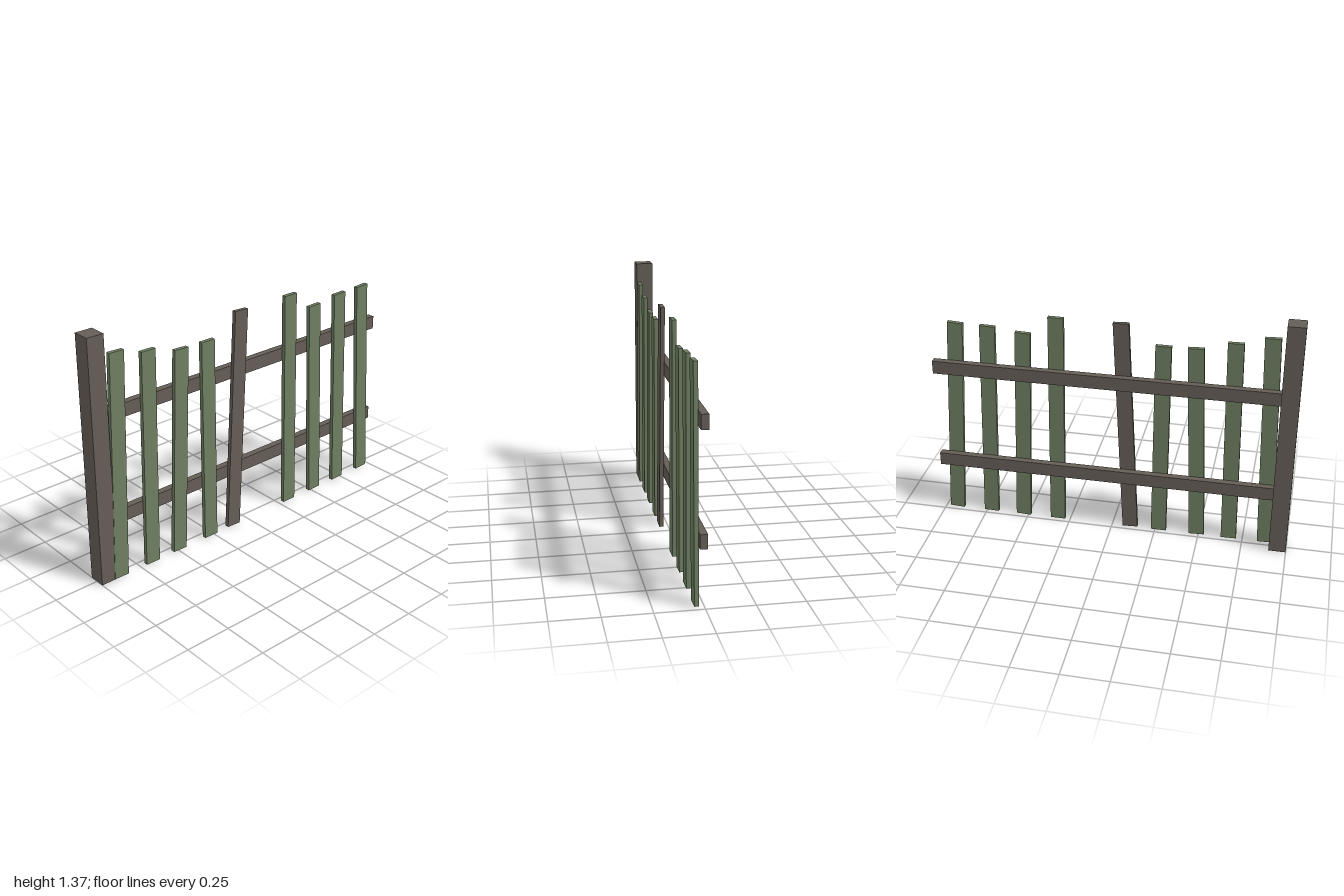
import * as THREE from 'three';

export function createModel() {
  const fence = new THREE.Group();
  fence.name = 'fence';

  const bareWood = new THREE.MeshStandardMaterial({ color: 0x665e57 });
  bareWood.name = 'bare wood';
  const greenPaint = new THREE.MeshStandardMaterial({ color: 0x6f7f62 });
  greenPaint.name = 'green paint';

  function box(name, material, size, position, tilt = 0) {
    const mesh = new THREE.Mesh(new THREE.BoxGeometry(...size), material);
    mesh.name = name;
    mesh.position.set(...position);
    mesh.rotation.z = tilt;
    fence.add(mesh);
  }

  // End post
  box('post', bareWood, [0.096, 1.37, 0.096], [-0.952, 0.685, 0]);

  // Two horizontal rails running out of the post
  for (const [name, y] of [['lowerRail', 0.346], ['upperRail', 0.932]]) {
    box(name, bareWood, [1.95, 0.075, 0.038], [0.025, y, 0.01]);
  }

  // Crooked pickets: bottom x, top x, height, material
  const pickets = [
    [-0.877, -0.837, 1.262, greenPaint],
    [-0.672, -0.650, 1.216, greenPaint],
    [-0.489, -0.444, 1.168, greenPaint],
    [-0.270, -0.273, 1.163, greenPaint],
    [-0.105, -0.045, 1.275, bareWood],
    [0.322, 0.306, 1.274, greenPaint],
    [0.528, 0.490, 1.170, greenPaint],
    [0.723, 0.686, 1.192, greenPaint],
    [0.933, 0.866, 1.197, greenPaint],
  ];
  const width = 0.086;
  pickets.forEach(([x0, x1, height, material], i) => {
    const tilt = Math.atan2(x0 - x1, height);
    // Shorten so that the lowest corner rests on the ground
    const rise = width * Math.abs(Math.sin(tilt));
    const length = (height - rise) / Math.cos(tilt);
    box(`picket${i + 1}`, material, [width, length, 0.023], [(x0 + x1) / 2, height / 2, 0.0385], tilt);
  });

  return fence;
}
